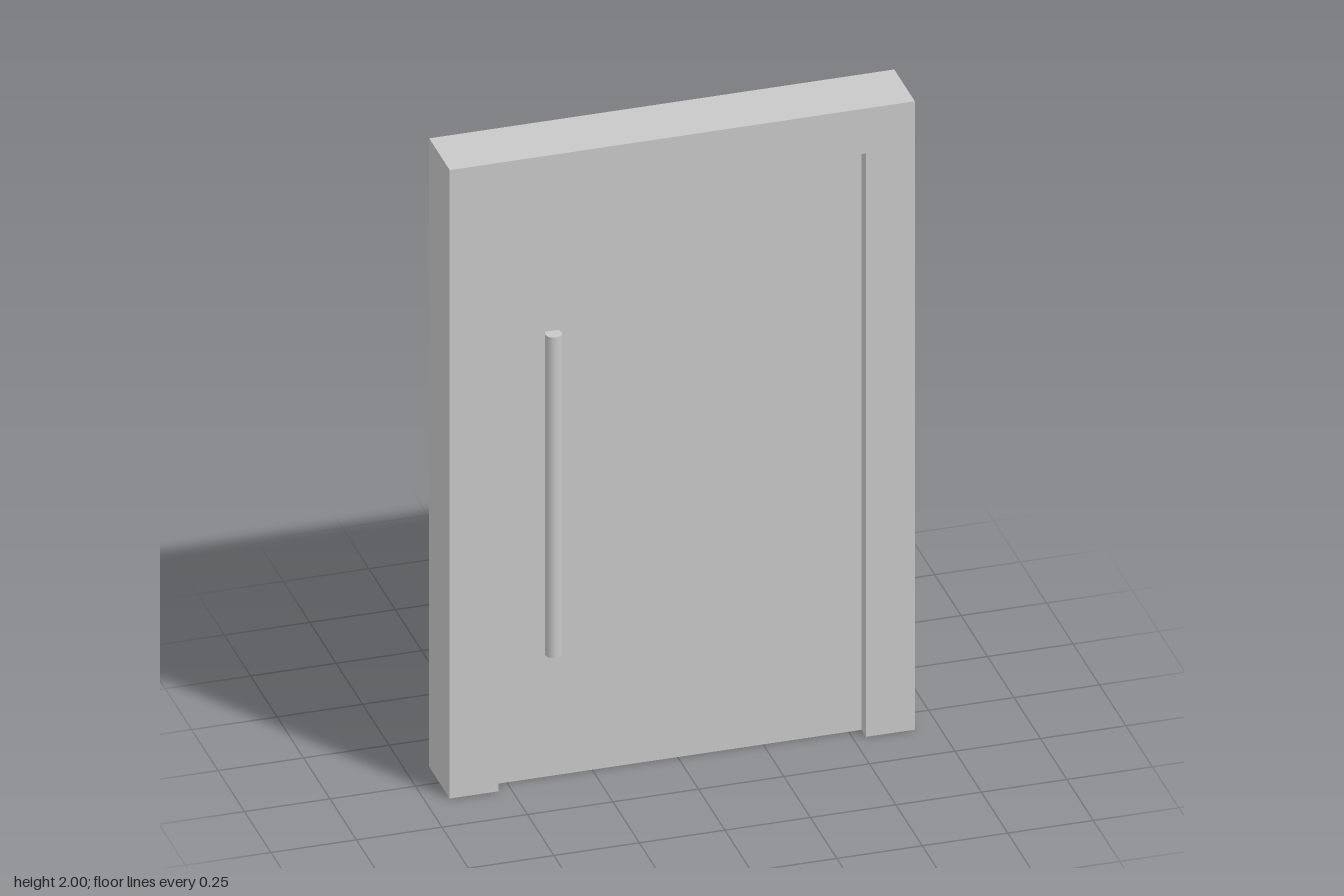
import * as THREE from 'three';

export function createModel() {
  const model = new THREE.Group();
  const grey = new THREE.MeshStandardMaterial({ color: 0xc8c8c8 });
  grey.name = 'light grey';

  const add = (name, geometry, x, y, z) => {
    const mesh = new THREE.Mesh(geometry, grey);
    mesh.name = name;
    mesh.position.set(x, y, z);
    model.add(mesh);
  };

  const halfWidth = 0.68, height = 2, depth = 0.194;
  const openHalf = 0.537, openTop = 1.857;

  // Frame: two jambs and a head in one piece, open at the floor
  const outline = new THREE.Shape([
    [-halfWidth, 0], [-openHalf, 0], [-openHalf, openTop], [openHalf, openTop],
    [openHalf, 0], [halfWidth, 0], [halfWidth, height], [-halfWidth, height],
  ].map(([x, y]) => new THREE.Vector2(x, y)));
  add('doorFrame', new THREE.ExtrudeGeometry(outline, { depth, bevelEnabled: false }), 0, 0, -depth / 2);

  // Door leaf, recessed on both faces
  add('doorLeaf', new THREE.BoxGeometry(openHalf * 2, openTop, 0.108), 0, openTop / 2, 0);

  // Long bar handle on each face, partly sunk into the leaf
  for (const [name, side] of [['frontHandle', 1], ['backHandle', -1]]) {
    add(name, new THREE.CylinderGeometry(0.024, 0.024, 1.02, 32), -0.368, 0.906, side * 0.071);
  }

  return model;
}
